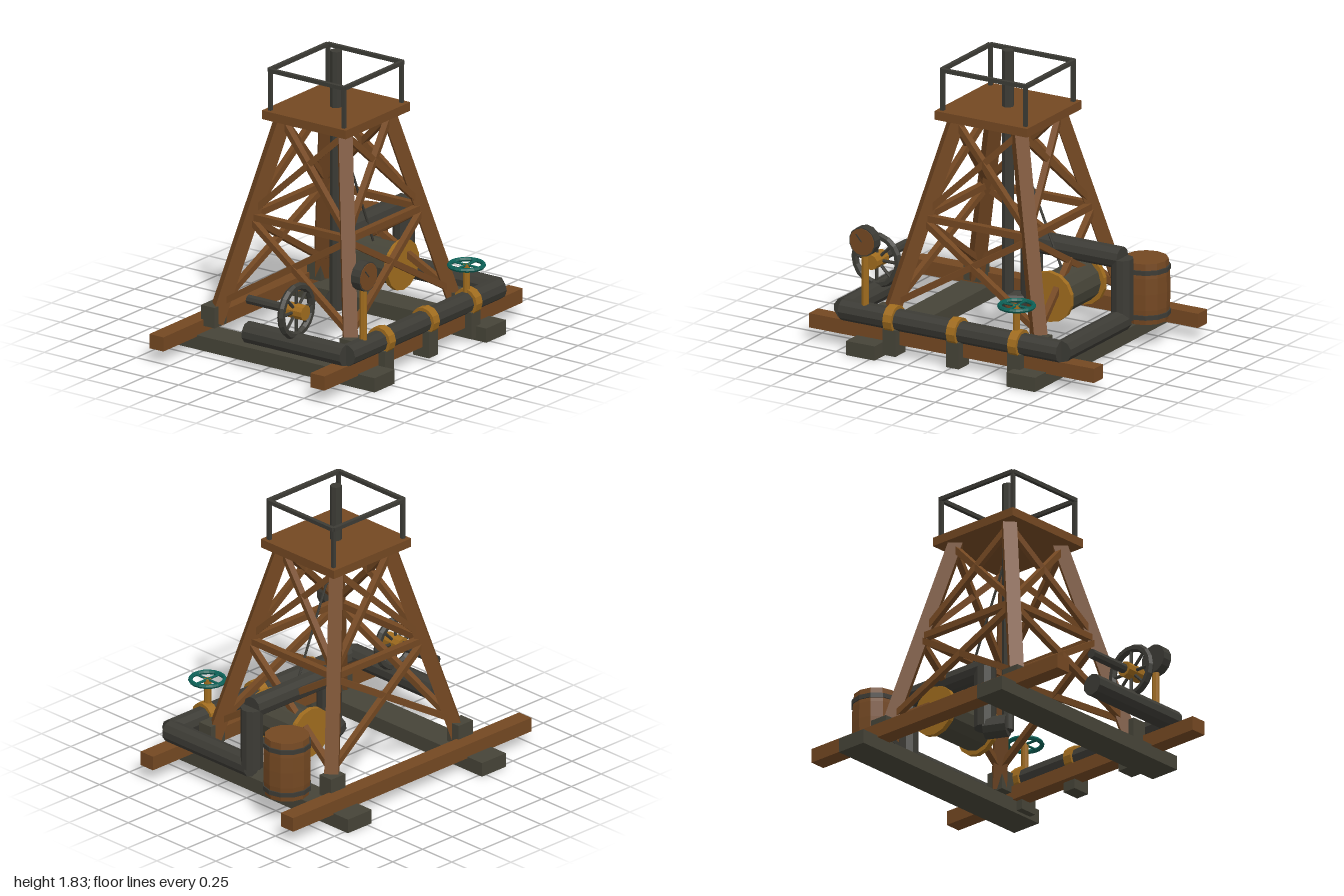
import * as THREE from 'three';

const mat = (name, color) => {
  const m = new THREE.MeshStandardMaterial({ color, flatShading: true });
  m.name = name;
  return m;
};
const V = (x, y, z) => new THREE.Vector3(x, y, z);

export function createModel() {
  const model = new THREE.Group();
  model.name = 'derrick';
  const wood = mat('wood', 0x744822);
  const iron = mat('iron', 0x464438);
  const steel = mat('darkSteel', 0x3c3b35);
  const brass = mat('brass', 0xa06c1e);
  const teal = mat('teal', 0x0c6258);

  const add = (name, geometry, material, x = 0, y = 0, z = 0, parent = model) => {
    const mesh = new THREE.Mesh(geometry, material);
    mesh.name = name;
    mesh.position.set(x, y, z);
    parent.add(mesh);
    return mesh;
  };
  const box = (name, m, w, h, d, x, y, z) => add(name, new THREE.BoxGeometry(w, h, d), m, x, y, z);

  // Square timber between two points, kept level sideways
  const beam = (name, m, a, b, t) => {
    const dir = b.clone().sub(a);
    const mesh = box(name, m, t, dir.length(), t, 0, 0, 0);
    mesh.position.copy(a).add(b).multiplyScalar(0.5);
    dir.normalize();
    const side = V(0, 1, 0).cross(dir);
    if (side.lengthSq() < 1e-6) side.set(1, 0, 0);
    side.normalize();
    const third = side.clone().cross(dir);
    mesh.quaternion.setFromRotationMatrix(new THREE.Matrix4().makeBasis(side, dir, third));
    return mesh;
  };

  // Round bar between two points
  const rod = (name, m, a, b, r, sides = 10) => {
    const dir = b.clone().sub(a);
    const mesh = add(name, new THREE.CylinderGeometry(r, r, dir.length(), sides), m);
    mesh.position.copy(a).add(b).multiplyScalar(0.5);
    mesh.quaternion.setFromUnitVectors(V(0, 1, 0), dir.normalize());
    return mesh;
  };

  // Base: iron skids and wooden sills
  for (const s of [-1, 1]) {
    box('skid', iron, 0.2, 0.09, 1.555, s * 0.563, 0.045, 0);
    box('sill', wood, 2, 0.09, 0.105, 0, 0.125, s * 0.6);
  }

  // Tower: tapering legs, girts and crossed braces
  const corner = (sx, sz, y) => {
    const t = (y - 0.15) / 1.28;
    return V(sx * (0.535 - 0.32 * t), y, sz * (0.505 - 0.28 * t));
  };
  for (const sx of [-1, 1]) for (const sz of [-1, 1]) {
    beam('leg', wood, corner(sx, sz, 0.15), corner(sx, sz, 1.43), 0.085);
    box('legShoe', iron, 0.12, 0.13, 0.1, sx * 0.535, 0.195, sz * 0.515);
  }
  const ring = [[-1, 1], [1, 1], [1, -1], [-1, -1]];
  ring.forEach((p, i) => {
    const q = ring[(i + 1) % 4];
    beam('girt', wood, corner(...p, 0.805), corner(...q, 0.805), 0.042);
    for (const [low, high] of [[0.27, 0.79], [0.83, 1.4]]) {
      beam('brace', wood, corner(...p, low), corner(...q, high), 0.038);
      beam('brace', wood, corner(...q, low), corner(...p, high), 0.038);
    }
  });

  // Crown platform with railing
  box('platform', wood, 0.65, 0.055, 0.625, 0, 1.443, 0);
  ring.forEach(([sx, sz], i) => {
    const [nx, nz] = ring[(i + 1) % 4];
    box('railPost', steel, 0.022, 0.26, 0.022, sx * 0.291, 1.6, sz * 0.274);
    beam('topRail', steel, V(sx * 0.296, 1.725, sz * 0.28), V(nx * 0.296, 1.725, nz * 0.28), 0.024);
  });

  // Drill string and hoisting line
  rod('drillString', steel, V(0, 0.2, 0), V(0, 1.825, 0), 0.037, 8);
  rod('hoistLine', steel, V(0.03, 1.32, 0), V(0.38, 0.5, 0), 0.008, 6);

  // Pipework
  const pipeRun = [
    V(-0.765, 0.235, -0.09), V(-0.765, 0.235, 0.64), V(0.765, 0.235, 0.64),
    V(0.765, 0.235, -0.06), V(0.765, 0.625, -0.06), V(0.13, 0.625, -0.06),
    V(0.13, 0.235, -0.06), V(0, 0.235, 0),
  ];
  for (let i = 1; i < pipeRun.length; i++) rod('pipe', steel, pipeRun[i - 1], pipeRun[i], 0.068);

  // Pipe clamps and their stands
  for (const x of [-0.41, 0.035, 0.465]) {
    rod('pipeClamp', brass, V(x - 0.03, 0.237, 0.642), V(x + 0.03, 0.237, 0.642), 0.086, 12);
    box('pipeStand', iron, 0.09, 0.165, 0.12, x, 0.1, 0.64);
  }

  // Winch drum
  rod('winchDrum', iron, V(0.41, 0.39, -0.18), V(0.41, 0.39, 0.18), 0.132, 12);
  for (const z of [-0.195, 0.185]) {
    rod('drumFlange', brass, V(0.41, 0.39, z - 0.016), V(0.41, 0.39, z + 0.016), 0.158, 14);
  }

  // Flywheel on its shaft
  rod('flywheelShaft', steel, V(-0.76, 0.44, -0.09), V(-0.76, 0.44, 0.3), 0.03, 8);
  rod('flywheelHub', brass, V(-0.76, 0.44, 0.2), V(-0.76, 0.44, 0.335), 0.048, 10);
  add('flywheelRim', new THREE.TorusGeometry(0.152, 0.024, 6, 18), steel, -0.76, 0.44, 0.265);
  for (let i = 0; i < 8; i++) {
    const a = i * Math.PI / 4;
    rod('flywheelSpoke', steel, V(-0.76, 0.44, 0.265),
      V(-0.76 + 0.15 * Math.cos(a), 0.44 + 0.15 * Math.sin(a), 0.265), 0.01, 6);
  }

  // Pressure gauge
  rod('gaugeStem', brass, V(-0.605, 0.28, 0.65), V(-0.605, 0.63, 0.65), 0.023, 8);
  rod('gaugeCase', steel, V(-0.605, 0.7, 0.625), V(-0.605, 0.7, 0.688), 0.092, 14);
  rod('gaugeFace', wood, V(-0.605, 0.7, 0.686), V(-0.605, 0.7, 0.692), 0.085, 14);
  beam('gaugeNeedle', steel, V(-0.605, 0.7, 0.692), V(-0.645, 0.745, 0.692), 0.007);

  // Valve with handwheel
  rod('valveStem', brass, V(0.45, 0.28, 0.64), V(0.45, 0.475, 0.64), 0.022, 8);
  const wheel = add('valveWheel', new THREE.TorusGeometry(0.104, 0.014, 6, 18), teal, 0.45, 0.47, 0.64);
  wheel.rotation.x = Math.PI / 2;
  rod('valveSpoke', teal, V(0.35, 0.47, 0.64), V(0.55, 0.47, 0.64), 0.008, 6);
  rod('valveSpoke', teal, V(0.45, 0.47, 0.54), V(0.45, 0.47, 0.74), 0.008, 6);

  // Barrel with iron hoops
  const profile = [[0, 0.158], [0.135, 0.158], [0.145, 0.25], [0.147, 0.35], [0.145, 0.45], [0.136, 0.542], [0, 0.542]]
    .map(([r, y]) => new THREE.Vector2(r, y));
  add('barrel', new THREE.LatheGeometry(profile, 12), wood, 0.755, 0, -0.35);
  for (const y of [0.205, 0.488]) {
    add('barrelHoop', new THREE.CylinderGeometry(0.15, 0.15, 0.028, 12), steel, 0.755, y, -0.35);
  }

  return model;
}
